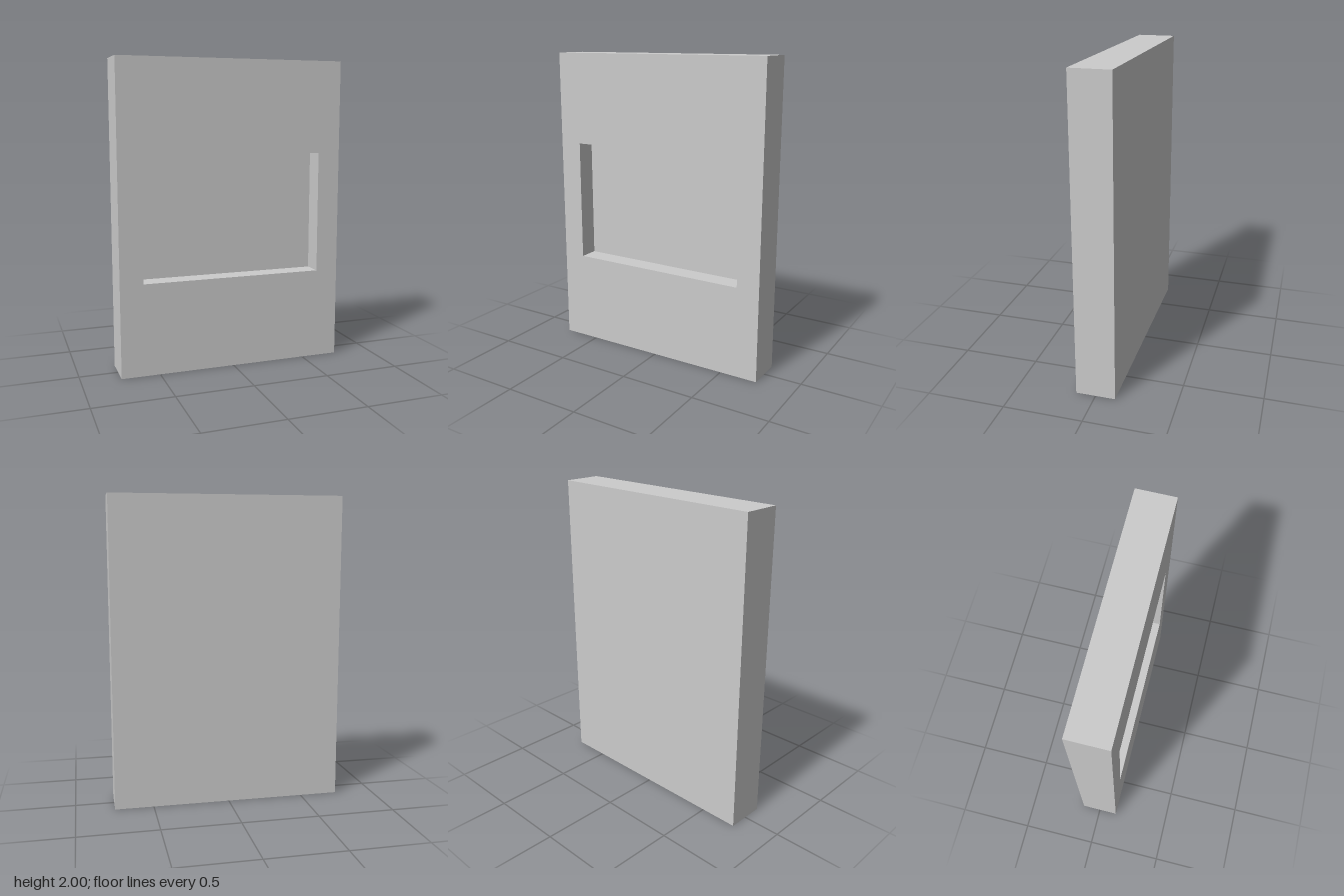
import * as THREE from 'three';

// Rectangular outline, counter-clockwise seen from the front
const ring = (halfW, y0, y1, z) => [[-halfW, y0, z], [halfW, y0, z], [halfW, y1, z], [-halfW, y1, z]];

// Joins successive outlines with quads and closes both ends
function loftRings(rings) {
  const positions = [];
  const quad = (a, b, c, d) => positions.push(...a, ...b, ...c, ...a, ...c, ...d);
  for (let r = 0; r < rings.length - 1; r++) {
    const near = rings[r], far = rings[r + 1];
    for (let i = 0; i < 4; i++) {
      const j = (i + 1) % 4;
      quad(near[i], near[j], far[j], far[i]);
    }
  }
  quad(...[...rings[0]].reverse());
  quad(...rings[rings.length - 1]);
  const geometry = new THREE.BufferGeometry();
  geometry.setAttribute('position', new THREE.Float32BufferAttribute(positions, 3));
  geometry.computeVertexNormals();
  return geometry;
}

export function createModel() {
  const group = new THREE.Group();
  group.name = 'recessedPanel';
  const material = new THREE.MeshStandardMaterial({ color: 0xcccccc, flatShading: true });

  const halfDepth = 0.125, recessDepth = 0.13;

  // Upright slab whose front face steps in to a rectangular recess
  const slab = new THREE.Mesh(loftRings([
    ring(0.75, 0, 2, -halfDepth),
    ring(0.75, 0, 2, halfDepth),
    ring(0.6, 0.6, 1.4, halfDepth),
    ring(0.6, 0.6, 1.4, halfDepth - recessDepth),
  ]), material);
  slab.name = 'slabWithRecess';
  group.add(slab);
  return group;
}
